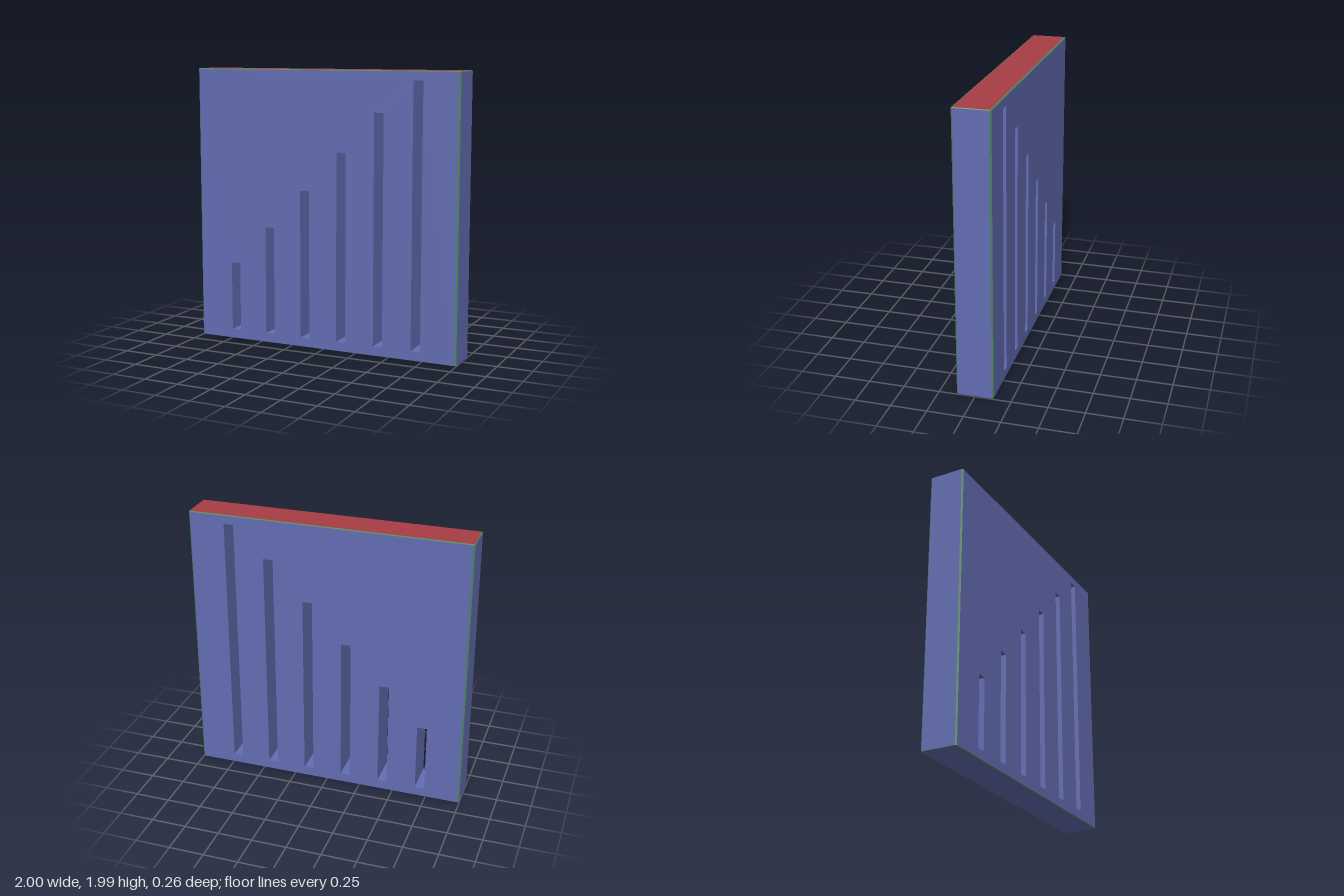
import * as THREE from 'three';

const W = 1, H = 1.99, D = 0.128, C = 0.01; // half width, height, half depth, chamfer

// Rectangular path with optional clipped corners
function rect(path, x0, y0, x1, y1, c = 0) {
  const pts = c
    ? [[x0 + c, y0], [x1 - c, y0], [x1, y0 + c], [x1, y1 - c], [x1 - c, y1], [x0 + c, y1], [x0, y1 - c], [x0, y0 + c]]
    : [[x0, y0], [x1, y0], [x1, y1], [x0, y1]];
  path.setFromPoints(pts.map(([x, y]) => new THREE.Vector2(x, y)));
  path.closePath();
  return path;
}

// Slab with a row of rising slots and a chamfered outer rim
function slabGeometry() {
  const shape = rect(new THREE.Shape(), -W, 0, W, H, C / 2);
  const tops = [0.572, 0.855, 1.138, 1.421, 1.704, 1.925];
  tops.forEach((top, i) => {
    const x = -0.706 + i * 0.2823;
    shape.holes.push(rect(new THREE.Path(), x - 0.035, 0.07, x + 0.035, top));
  });
  const geo = new THREE.ExtrudeGeometry(shape, { depth: 3, steps: 3, bevelEnabled: false });
  const layers = [-D, -D + C, D - C, D];
  const p = geo.attributes.position;
  for (let i = 0; i < p.count; i++) {
    const layer = Math.round(p.getZ(i));
    p.setZ(i, layers[layer]);
    // the front and back layers of the outline are drawn inwards
    if (layer === 0 || layer === 3) {
      p.setX(i, THREE.MathUtils.clamp(p.getX(i), -W + C, W - C));
      p.setY(i, THREE.MathUtils.clamp(p.getY(i), C / 2, H - C / 2));
    }
  }
  geo.computeVertexNormals();
  return geo;
}

// Keep only the triangles whose kind matches
function pick(geo, kind) {
  const p = geo.attributes.position, n = geo.attributes.normal, out = [];
  for (let i = 0; i < p.count; i += 3) {
    const [nx, ny, nz] = [n.getX(i), n.getY(i), n.getZ(i)];
    const straight = Math.max(Math.abs(nx), Math.abs(ny), Math.abs(nz)) > 0.99;
    const k = !straight ? 'rim' : ny > 0.9 && p.getY(i) > H - C ? 'top' : 'body';
    if (k !== kind) continue;
    for (let j = i; j < i + 3; j++) out.push(p.getX(j), p.getY(j), p.getZ(j));
  }
  const g = new THREE.BufferGeometry();
  g.setAttribute('position', new THREE.Float32BufferAttribute(out, 3));
  g.computeVertexNormals();
  return g;
}

export function createModel() {
  const group = new THREE.Group();
  group.name = 'slottedPanel';
  const slab = slabGeometry();
  const parts = [
    ['body', 'slottedBody', 0x636db3],
    ['rim', 'chamferedRim', 0x4f8a5a],
    ['top', 'topFace', 0xa83c44],
  ];
  for (const [kind, name, color] of parts) {
    const mesh = new THREE.Mesh(pick(slab, kind), new THREE.MeshStandardMaterial({ color }));
    mesh.name = name;
    group.add(mesh);
  }
  return group;
}
